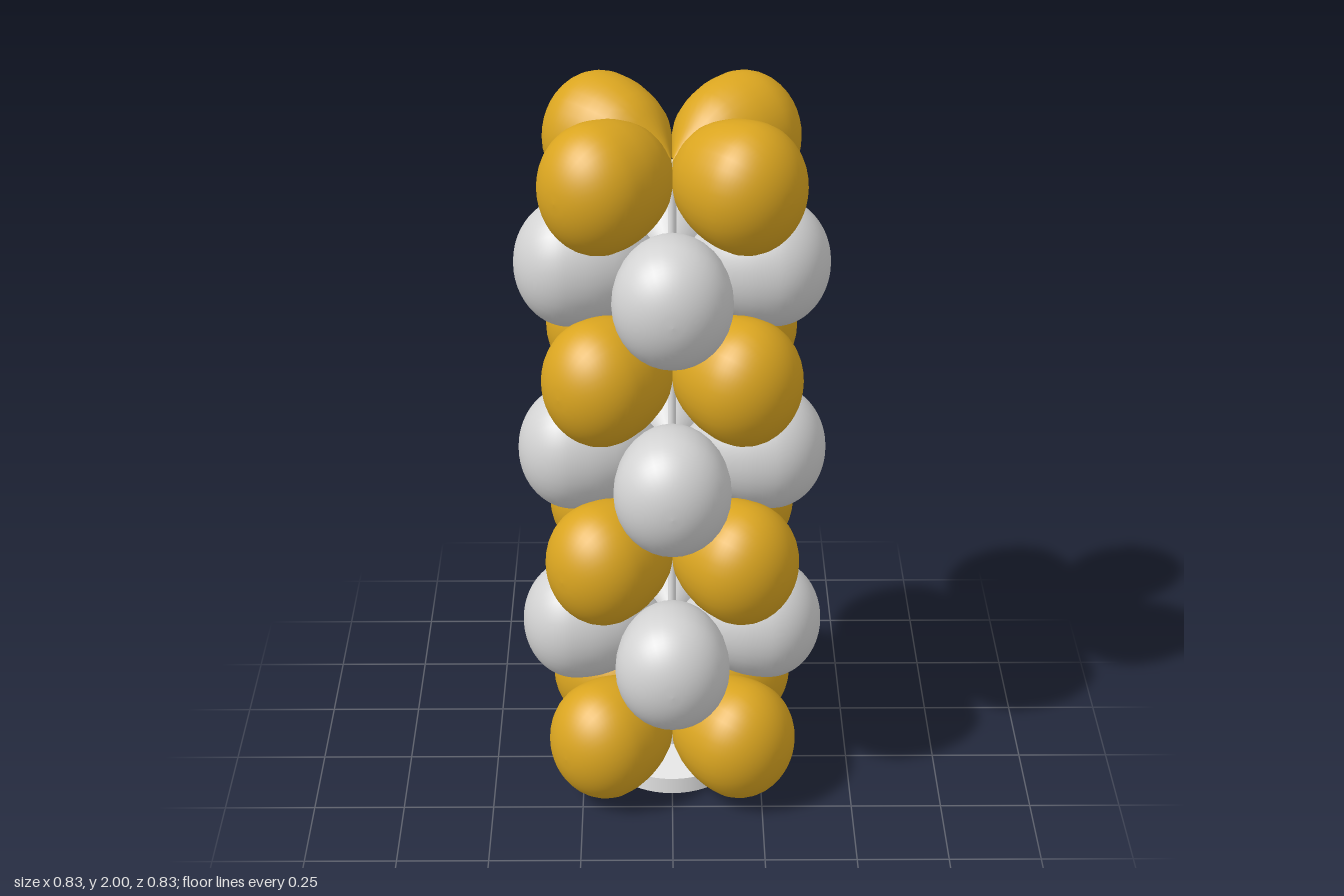
import * as THREE from 'three';

const mat = (name, color) => {
  const m = new THREE.MeshStandardMaterial({ color });
  m.name = name;
  return m;
};

// Teardrop balloon: tip at the origin, pointing out along +z
function balloonGeometry() {
  const centre = 0.27, cap = 0.145;
  const profile = [[0, 0.002], [0.07, 0.012], [0.35, 0.054], [0.73, 0.113], [0.92, 0.18], [0.985, 0.23]]
    .map(([r, s]) => new THREE.Vector2(r, s));
  for (let i = 0; i <= 8; i++) {
    const a = (i / 8) * Math.PI / 2;
    profile.push(new THREE.Vector2(Math.cos(a), centre + cap * Math.sin(a)));
  }
  const points = new THREE.SplineCurve(profile).getPoints(32);
  points.forEach((p) => { p.x = Math.max(0, p.x); });
  points[points.length - 1].x = 0;
  const geo = new THREE.LatheGeometry(points, 32);
  geo.scale(0.155, 1, 0.171); // squeezed sideways by its neighbours
  geo.rotateX(Math.PI / 2);
  return geo;
}

export function createModel() {
  const group = new THREE.Group();
  const gold = mat('gold', 0xdaa520);
  const silver = mat('silver', 0xd3d3d3);
  const white = mat('white', 0xe6e6e6);

  // Base plate and pole
  const base = new THREE.Mesh(new THREE.CylinderGeometry(0.185, 0.185, 0.048, 48), white);
  base.name = 'base';
  base.position.y = 0.024;
  const pole = new THREE.Mesh(new THREE.CylinderGeometry(0.011, 0.011, 1.82, 16), white);
  pole.name = 'pole';
  pole.position.y = 0.92;
  group.add(base, pole);

  // Tiers of four balloons, each tier turned 45 degrees from the last
  const geo = balloonGeometry();
  [0.187, 0.465, 0.75, 1.005, 1.29, 1.548, 1.829].forEach((y, tier) => {
    const isGold = tier % 2 === 0;
    const ring = new THREE.Group();
    ring.name = isGold ? 'goldBalloonTier' : 'silverBalloonTier';
    ring.position.y = y;
    for (let i = 0; i < 4; i++) {
      const balloon = new THREE.Mesh(geo, isGold ? gold : silver);
      balloon.name = 'balloon';
      balloon.rotation.y = i * Math.PI / 2 + (isGold ? Math.PI / 4 : 0);
      ring.add(balloon);
    }
    group.add(ring);
  });
  return group;
}
